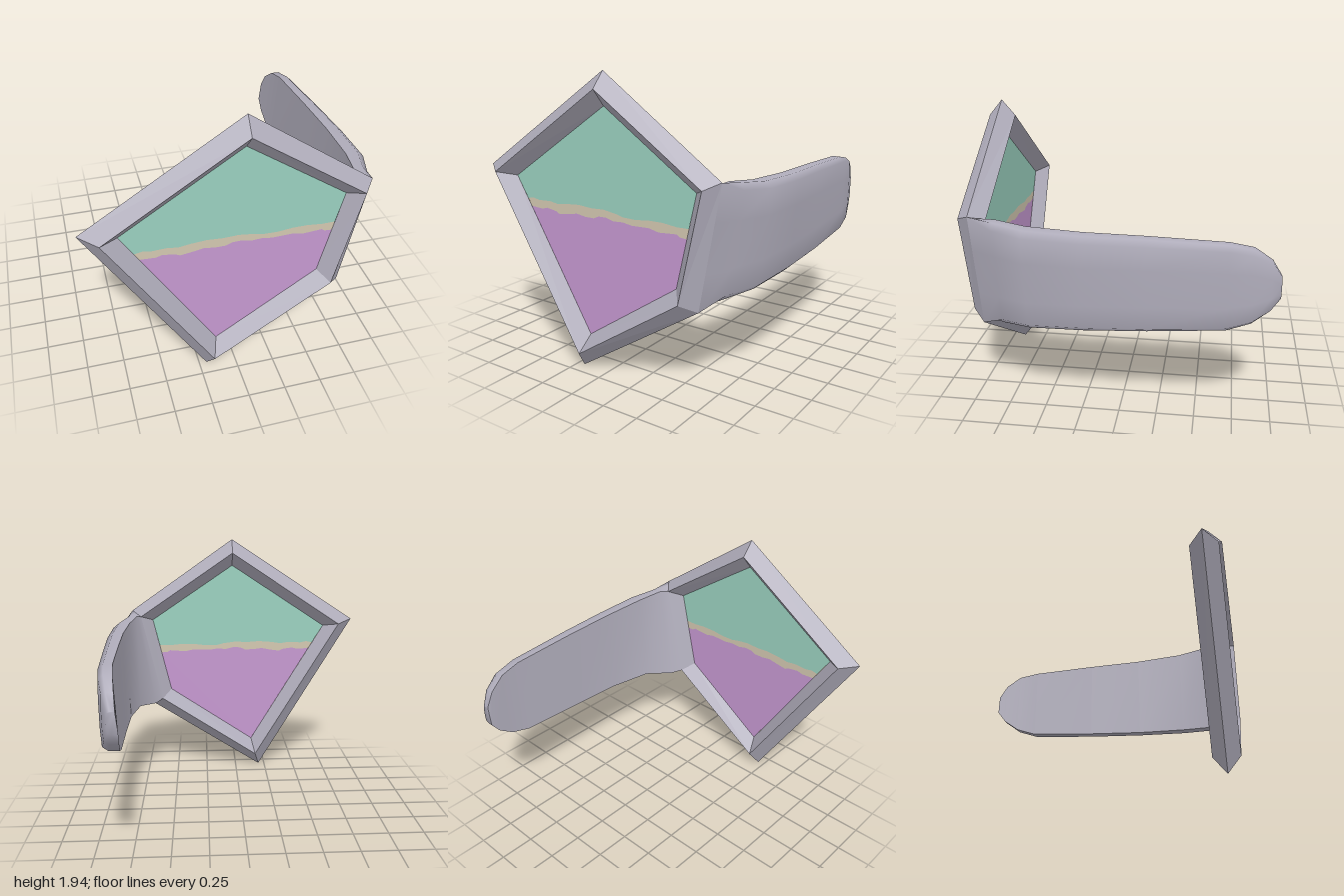
import * as THREE from 'three';

const mat = (name, color) => {
  const m = new THREE.MeshStandardMaterial({ color, side: THREE.DoubleSide });
  m.name = name;
  return m;
};

// Skin a list of equal-length rows of [x, y, z] points
function loft(rows, { closed = false, flat = false, cap = false } = {}) {
  const n = rows[0].length, index = [];
  for (let i = 0; i < rows.length - 1; i++) {
    for (let j = 0; j < (closed ? n : n - 1); j++) {
      const k = (j + 1) % n;
      const a = i * n + j, b = i * n + k, c = a + n, d = b + n;
      index.push(a, b, c, b, d, c);
    }
  }
  if (cap) {
    const s = (rows.length - 1) * n;
    for (let j = 1; j < n - 1; j++) index.push(s, s + j, s + j + 1);
  }
  let g = new THREE.BufferGeometry();
  g.setAttribute('position', new THREE.Float32BufferAttribute(rows.flat(2), 3));
  g.setIndex(index);
  if (flat) g = g.toNonIndexed();
  g.computeVertexNormals();
  return g;
}

export function createModel() {
  const group = new THREE.Group();
  const grey = mat('frame grey', 0xb0adbb);
  const teal = mat('lens teal', 0x9ad0bf);
  const sand = mat('lens sand', 0xd2c7b0);
  const violet = mat('lens violet', 0xc598d0);
  const add = (name, geometry, material) => {
    const mesh = new THREE.Mesh(geometry, material);
    mesh.name = name;
    group.add(mesh);
    return mesh;
  };

  // Five-sided frame with a diamond cross-section
  const outer = [[0.025, 1.945], [0.85, 1.37], [0.7, 0.58], [-0.2, 0.005], [-0.975, 1.285]];
  const middle = [[0.025, 1.84], [0.775, 1.33], [0.615, 0.635], [-0.165, 0.125], [-0.855, 1.255]];
  const inner = [[0.025, 1.735], [0.685, 1.29], [0.545, 0.695], [-0.135, 0.24], [-0.74, 1.23]];
  const at = (ring, z) => ring.map(([x, y]) => [x, y, z]);
  add('frame', loft(
    [at(outer, 0.91), at(middle, 0.82), at(inner, 0.91), at(middle, 1), at(outer, 0.91)],
    { closed: true, flat: true }), grey);

  // Lens in three bands with ragged borders, listed left to right
  const upper = [[-0.65, 1.085], [-0.6, 1.095], [-0.55, 1.085], [-0.45, 1.09], [-0.38, 1.08], [-0.3, 1.092],
    [-0.2, 1.1], [-0.1, 1.093], [0, 1.098], [0.1, 1.085], [0.15, 1.072], [0.25, 1.07], [0.35, 1.082],
    [0.45, 1.083], [0.55, 1.073], [0.634, 1.075]];
  const lower = [[-0.62, 1.035], [-0.52, 1.03], [-0.48, 1.042], [-0.4, 1.03], [-0.37, 1.015], [-0.3, 1.025],
    [-0.22, 1.04], [-0.15, 1.03], [-0.08, 1.03], [-0.04, 1.048], [0.02, 1.05], [0.08, 1.035], [0.15, 1.04],
    [0.22, 1.03], [0.35, 1.035], [0.42, 1.02], [0.55, 1.03], [0.57, 1.015], [0.62, 1.012]];
  const band = (name, points, material) => {
    const shape = new THREE.Shape(points.map(([x, y]) => new THREE.Vector2(x, y)));
    add(name, new THREE.ShapeGeometry(shape), material).position.z = 0.91;
  };
  band('lensTop', [...upper, inner[1], inner[0], inner[4]], teal);
  band('lensStripe', [...lower, ...[...upper].reverse()], sand);
  band('lensBottom', [...[...lower].reverse(), inner[3], inner[2]], violet);

  // Side arm stations: z, top y, bottom y, outer x (top, bottom), inner x (top, bottom)
  const stations = [
    [0.91, 1.37, 0.58, 0.85, 0.7, 0.775, 0.615],
    [0.75, 1.345, 0.615, 0.9, 0.79, 0.8, 0.67],
    [0.55, 1.325, 0.65, 0.968, 0.905, 0.84, 0.78],
    [0.2, 1.31, 0.67, 0.972, 0.93, 0.855, 0.82],
    [-0.2, 1.3, 0.69, 0.95, 0.93, 0.845, 0.815],
    [-0.68, 1.28, 0.72, 0.922, 0.912, 0.83, 0.8],
    [-0.83, 1.25, 0.77, 0.903, 0.898, 0.815, 0.79],
    [-0.94, 1.17, 0.85, 0.873, 0.87, 0.8, 0.78],
    [-1, 1.07, 0.93, 0.838, 0.838, 0.79, 0.775],
  ];
  const lerp = THREE.MathUtils.lerp;
  const shell = stations.map(([z, t, b, ot, ob, it, ib], i) => {
    const root = i === 0;
    const inset = root ? 0 : (t - b) * 0.055;
    const bulge = root ? 0 : 0.006;
    const zi = root ? 0.82 : z;
    const side = (f) => [lerp(ot, ob, f) + bulge, lerp(t, b, f), z];
    return [
      [it, root ? 1.33 : t, zi],
      [lerp(it, ot, 0.65), root ? 1.356 : t, lerp(zi, z, 0.65)],
      [ot, t - inset, z], side(0.3), side(0.7), [ob, b + inset, z],
      [lerp(ib, ob, 0.65), root ? 0.6 : b, lerp(zi, z, 0.65)],
      [ib, root ? 0.635 : b, zi],
    ];
  });
  add('armOuter', loft(shell, { cap: true }), grey);
  add('armInner', loft(shell.map((row) => [row[7], row[0]])), grey);

  return group;
}
